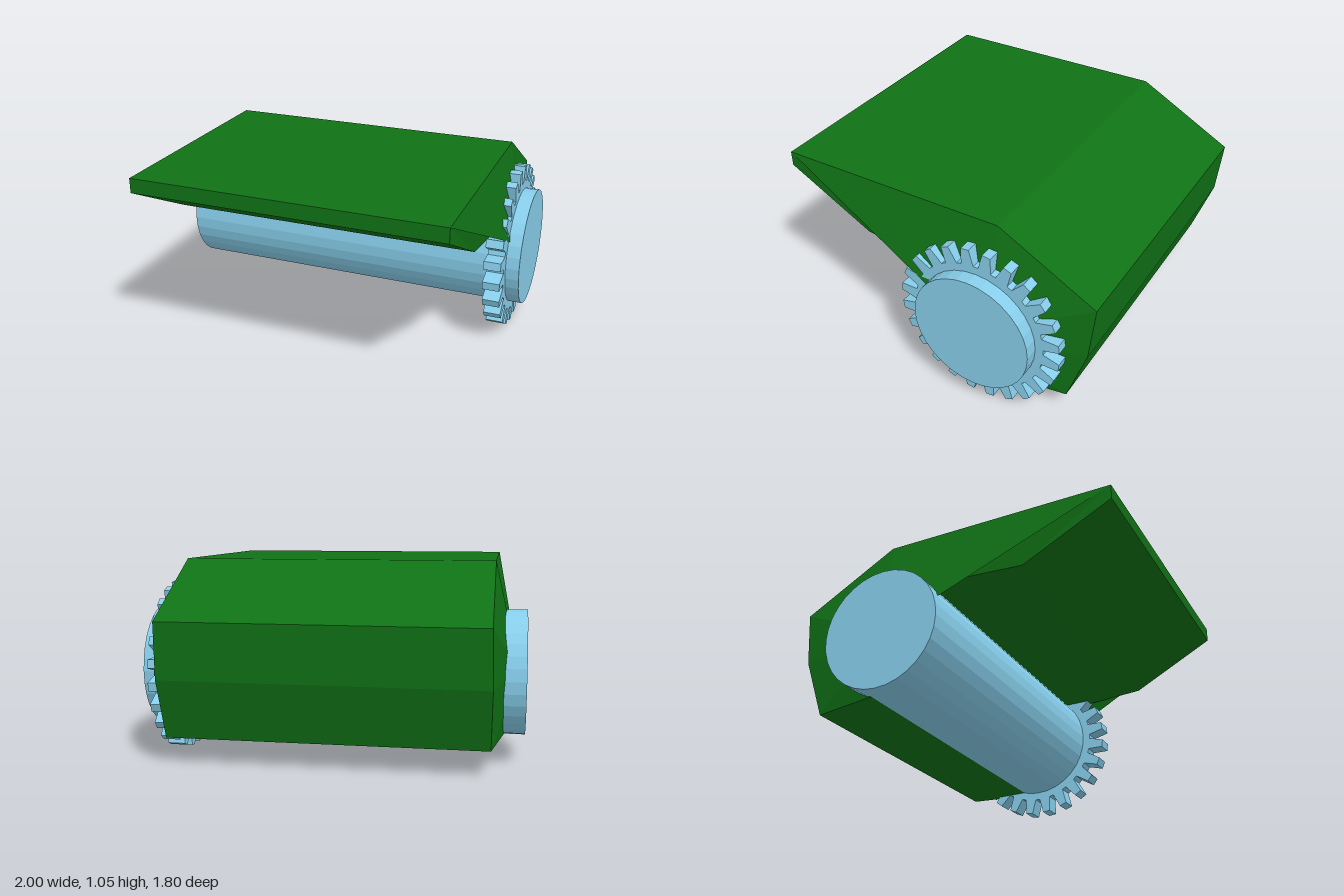
import * as THREE from 'three';

const AXIS_Y = 0.463, AXIS_Z = -0.3;

function material(color) {
  return new THREE.MeshStandardMaterial({ color, flatShading: true });
}

function addMesh(group, name, geometry, mat) {
  const mesh = new THREE.Mesh(geometry, mat);
  mesh.name = name;
  group.add(mesh);
  return mesh;
}

// Spur gear outline with tapered teeth, extruded along the roller axis
function gearGeometry(teeth, rootR, tipR, depth) {
  const shape = new THREE.Shape();
  const point = (r, angle, halfWidth) => [
    r * Math.cos(angle) - halfWidth * Math.sin(angle),
    r * Math.sin(angle) + halfWidth * Math.cos(angle),
  ];
  for (let i = 0; i < teeth; i++) {
    const a = ((i + 0.5) / teeth) * Math.PI * 2;
    const corners = [[rootR, -0.035], [tipR, -0.023], [tipR, 0.023], [rootR, 0.035]];
    corners.forEach(([r, w], k) => {
      const p = point(r, a, w);
      if (i === 0 && k === 0) shape.moveTo(...p);
      else shape.lineTo(...p);
    });
  }
  shape.closePath();
  const geometry = new THREE.ExtrudeGeometry(shape, { depth, bevelEnabled: false });
  return geometry.rotateY(Math.PI / 2);
}

// Hood: a side outline spanned across x, with end panels swelling out to the roller
function hoodGeometry() {
  // [z, y, half width]
  const outline = [
    [0.9, 1.05, 0.833], [-0.37, 1.05, 0.833], [-0.9, 0.76, 0.833],
    [-0.87, 0.46, 0.84], [-0.76, 0.14, 0.833], [-0.36, 0.15, 0.9],
    [-0.1, 0.71, 0.9], [0.42, 0.72, 0.84], [0.9, 0.97, 0.833],
  ];
  const hub = [AXIS_Z, AXIS_Y, 0.965];
  const positions = [];
  const vertex = ([z, y, w], side) => positions.push(side * w, y, z);

  // Skin between the two ends
  outline.forEach((a, i) => {
    const b = outline[(i + 1) % outline.length];
    vertex(a, 1); vertex(b, 1); vertex(b, -1);
    vertex(a, 1); vertex(b, -1); vertex(a, -1);
  });

  // End panels fan around the hub, with a ridge running to the nose
  const panels = [[0, 6, 7], [0, 7, 8]].map((t) => t.map((i) => outline[i]));
  for (let i = 0; i < 6; i++) panels.push([hub, outline[i], outline[i + 1]]);
  panels.push([hub, outline[6], outline[0]]);
  for (const [a, b, c] of panels) {
    vertex(a, 1); vertex(c, 1); vertex(b, 1);
    vertex(a, -1); vertex(b, -1); vertex(c, -1);
  }

  const geometry = new THREE.BufferGeometry();
  geometry.setAttribute('position', new THREE.Float32BufferAttribute(positions, 3));
  geometry.computeVertexNormals();
  return geometry;
}

export function createModel() {
  const group = new THREE.Group();
  group.name = 'coveredRoller';
  const blue = material(0x87ceeb);
  const green = material(0x107216);
  green.side = THREE.DoubleSide;

  // Roller drum lying along x
  const drum = new THREE.CylinderGeometry(0.33, 0.33, 2, 32).rotateZ(Math.PI / 2);
  addMesh(group, 'roller', drum, blue).position.set(0, AXIS_Y, AXIS_Z);

  // Drive gear near the left end
  const gear = gearGeometry(24, 0.372, 0.463, 0.095);
  addMesh(group, 'driveGear', gear, blue).position.set(0.83, AXIS_Y, AXIS_Z);

  // Hood wrapping the top and back
  addMesh(group, 'hood', hoodGeometry(), green);
  return group;
}
